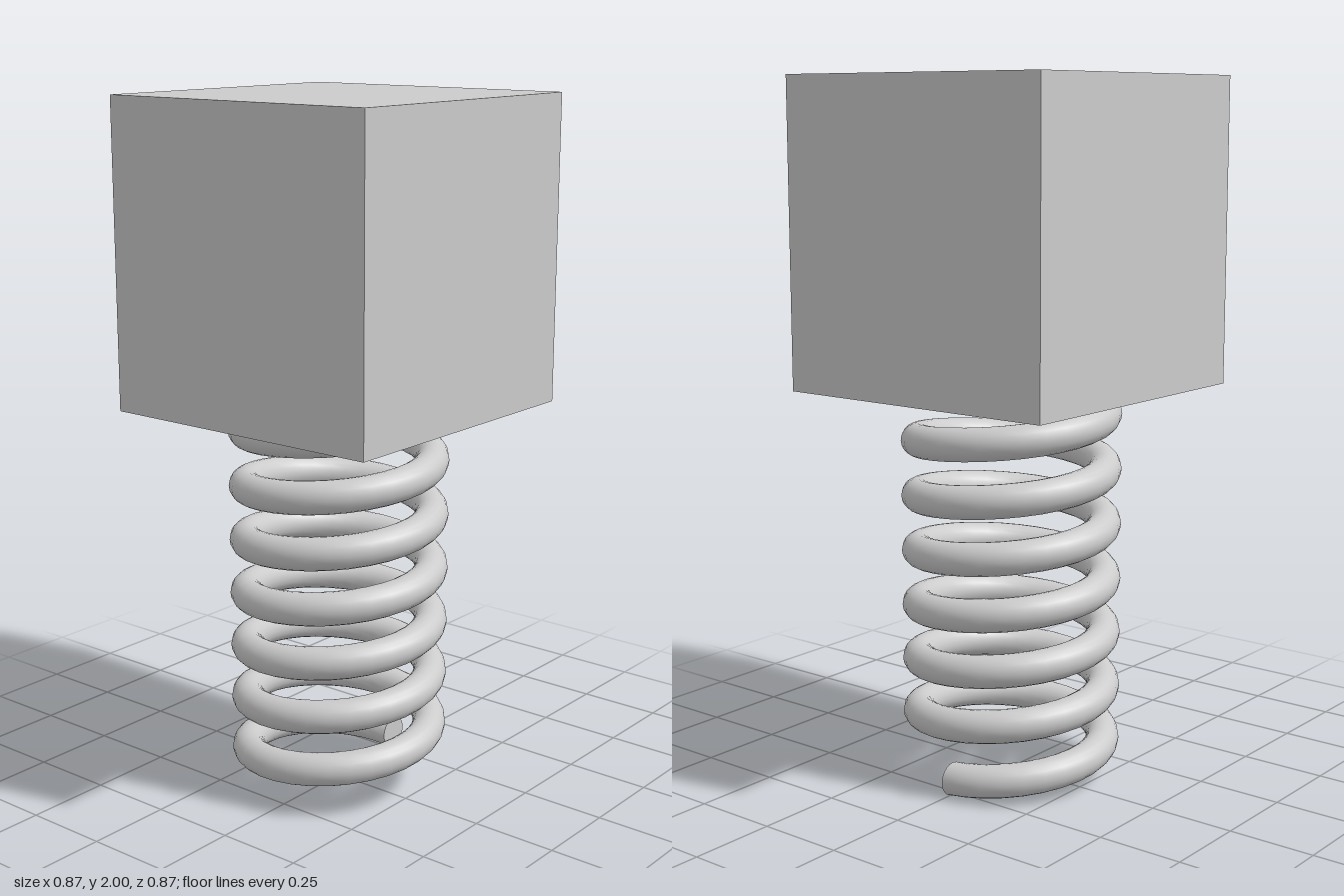
import * as THREE from 'three';
import { ParametricGeometry } from 'three/addons/geometries/ParametricGeometry.js';

const SIDE = 0.867;      // block edge
const COIL = 0.267;      // coil centreline radius
const WIRE = 0.0475;     // wire radius
const PITCH = 0.16;
const TURNS = 7;

export function createModel() {
  const group = new THREE.Group();
  const material = new THREE.MeshStandardMaterial({ color: 0xcccccc });

  const add = (name, geometry, x = 0, y = 0, z = 0) => {
    const mesh = new THREE.Mesh(geometry, material);
    mesh.name = name;
    mesh.position.set(x, y, z);
    group.add(mesh);
    return mesh;
  };

  // Block resting on the spring
  add('block', new THREE.BoxGeometry(SIDE, SIDE, SIDE), 0, 2 - SIDE / 2, 0);

  // Spring: a round wire section, kept upright, swept along a helix
  const sweep = (u, v, target) => {
    const turn = u * TURNS * Math.PI * 2;
    const ring = v * Math.PI * 2;
    const radius = COIL + WIRE * Math.cos(ring);
    target.set(
      radius * Math.cos(turn),
      WIRE + u * TURNS * PITCH + WIRE * Math.sin(ring),
      -radius * Math.sin(turn)
    );
  };
  add('spring', new ParametricGeometry(sweep, TURNS * 32, 20));

  // Flat wire ends
  const cap = new THREE.CircleGeometry(WIRE, 20);
  add('springBottomEnd', cap, COIL, WIRE, 0);
  add('springTopEnd', cap, COIL, WIRE + TURNS * PITCH, 0).rotation.y = Math.PI;

  return group;
}
